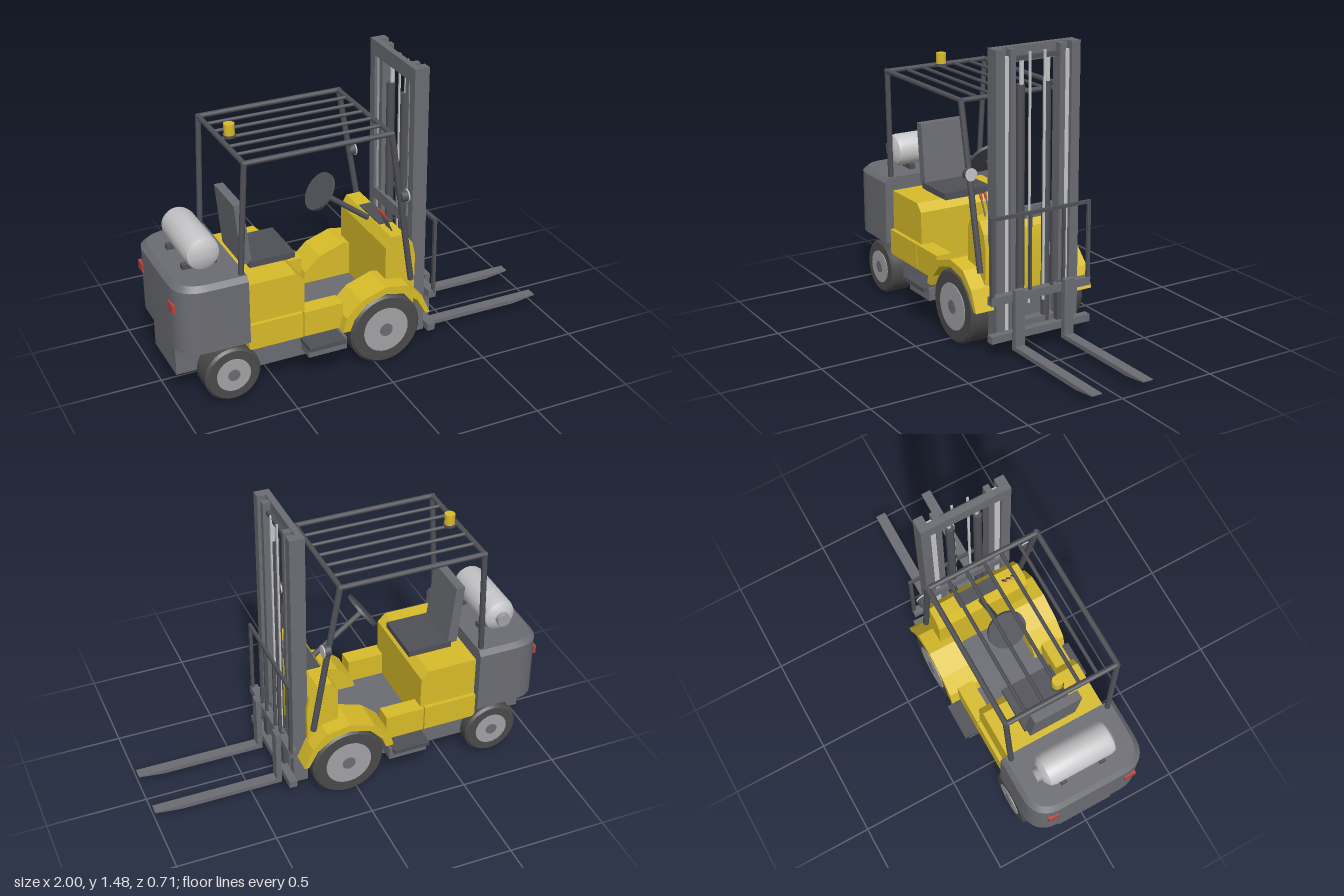
import * as THREE from 'three';
import { toCreasedNormals } from 'three/addons/utils/BufferGeometryUtils.js';

const mat = (name, color) => {
  const m = new THREE.MeshStandardMaterial({ color });
  m.name = name;
  return m;
};

export function createModel() {
  const yellow = mat('yellow paint', 0xd8bc2a);
  const grey = mat('body grey', 0x6c6d73);
  const dark = mat('dark grey', 0x505157);
  const tyreMat = mat('tyre black', 0x4a4a4b);
  const hubMat = mat('wheel grey', 0xa2a2a6);
  const light = mat('light metal', 0xc6c6c8);
  const red = mat('red', 0xb8443e);

  const root = new THREE.Group();
  root.name = 'forklift';
  const V = (x, y, z) => new THREE.Vector3(x, y, z);

  const add = (name, geometry, material) => {
    const mesh = new THREE.Mesh(geometry, material);
    mesh.name = name;
    root.add(mesh);
    return mesh;
  };
  // box given by its limits
  const box = (name, m, x0, x1, y0, y1, z0, z1) => {
    const mesh = add(name, new THREE.BoxGeometry(x1 - x0, y1 - y0, z1 - z0), m);
    mesh.position.set((x0 + x1) / 2, (y0 + y1) / 2, (z0 + z1) / 2);
    return mesh;
  };
  // the same box on both sides
  const boxPair = (name, m, x0, x1, y0, y1, z0, z1) => {
    box(name, m, x0, x1, y0, y1, z0, z1);
    box(name, m, x0, x1, y0, y1, -z1, -z0);
  };
  // round bar between two points
  const rod = (name, m, a, b, r, sides = 12) => {
    const d = b.clone().sub(a);
    const mesh = add(name, new THREE.CylinderGeometry(r, r, d.length(), sides), m);
    mesh.position.copy(a).addScaledVector(d, 0.5);
    mesh.quaternion.setFromUnitVectors(V(0, 1, 0), d.normalize());
    return mesh;
  };
  const toShape = pts => new THREE.Shape(pts.map(p => new THREE.Vector2(...p)));
  // side profile extruded across the width
  const profile = (name, m, pts, z0, z1, crease = 0.3) => {
    const g = new THREE.ExtrudeGeometry(toShape(pts), { depth: z1 - z0, bevelEnabled: false });
    g.translate(0, 0, z0);
    return add(name, toCreasedNormals(g, crease), m);
  };

  // counterweight: rounded plan with a chamfered top
  const plan = new THREE.Shape();
  plan.moveTo(-0.65, -0.31);
  plan.lineTo(-0.65, 0.31);
  plan.lineTo(-0.85, 0.31);
  plan.bezierCurveTo(-0.94, 0.31, -0.99, 0.27, -0.993, 0.18);
  plan.lineTo(-0.993, -0.18);
  plan.bezierCurveTo(-0.99, -0.27, -0.94, -0.31, -0.85, -0.31);
  const slab = (y0, y1, topScale) => {
    const g = new THREE.ExtrudeGeometry(plan, { depth: y1 - y0, bevelEnabled: false, curveSegments: 8 });
    g.rotateX(-Math.PI / 2).translate(0, y0, 0);
    const p = g.attributes.position;
    for (let i = 0; i < p.count; i++) {
      if (p.getY(i) > y1 - 0.001) {
        p.setX(i, -0.65 + (p.getX(i) + 0.65) * topScale);
        p.setZ(i, p.getZ(i) * topScale);
      }
    }
    return toCreasedNormals(g, 0.5);
  };
  add('counterweight', slab(0.3, 0.625, 1), grey);
  add('counterweight top', slab(0.625, 0.65, 0.93), grey);
  box('rear chassis block', grey, -0.97, -0.65, 0.115, 0.3, -0.15, 0.15);
  boxPair('tail light', red, -1, -0.985, 0.505, 0.55, 0.18, 0.24);

  // chassis, floor and steps
  box('chassis', grey, -0.65, -0.165, 0.11, 0.24, -0.24, 0.24);
  box('front chassis', grey, -0.165, 0.23, 0.11, 0.24, -0.165, 0.165);
  box('floor', grey, -0.36, 0.09, 0.235, 0.25, -0.22, 0.22);
  boxPair('step bracket', grey, -0.365, -0.165, 0.145, 0.21, 0.24, 0.33);
  boxPair('step', dark, -0.37, -0.18, 0.19, 0.212, 0.24, 0.355);

  // engine cover and side boxes
  profile('engine cover', yellow, [[-0.65, 0.24], [-0.355, 0.24], [-0.355, 0.54],
    [-0.395, 0.58], [-0.65, 0.58]], -0.265, 0.265);
  boxPair('rear side box', yellow, -0.65, -0.372, 0.24, 0.373, 0.2, 0.285);
  boxPair('front side box', yellow, -0.366, -0.165, 0.24, 0.373, 0.2, 0.285);

  // front cowl
  profile('cowl', yellow, [[0.08, 0.24], [0.235, 0.24], [0.24, 0.52], [0.225, 0.59],
    [0.185, 0.648], [0.11, 0.648], [0.08, 0.595]], -0.25, 0.25);
  box('dash panel', dark, 0.115, 0.185, 0.645, 0.654, -0.11, 0.11);

  // fenders with an inner wall
  const arch = [[-0.185, 0.235], [-0.165, 0.31], [-0.085, 0.385], [0.045, 0.43],
    [0.165, 0.41], [0.24, 0.335], [0.285, 0.23]];
  const inner = [[0.262, 0.23], [0.215, 0.315], [0.145, 0.37], [0.045, 0.392],
    [-0.06, 0.36], [-0.125, 0.29], [-0.145, 0.235]];
  for (const s of [-1, 1]) {
    const span = (a, b) => (s > 0 ? [a, b] : [-b, -a]);
    profile('fender', yellow, [...arch, ...inner], ...span(0.165, 0.33));
    profile('fender inner wall', yellow, arch, ...span(0.155, 0.17));
  }

  // wheels
  const wheel = (name, x, y, r, hubR, capR, z0, z1) => {
    const b = 0.012;
    const w = z1 - z0;
    const tyre = toCreasedNormals(new THREE.LatheGeometry([[0, 0], [r - b, 0], [r, b],
      [r, w - b], [r - b, w], [0, w]].map(p => new THREE.Vector2(...p)), 40), 0.4);
    for (const s of [-1, 1]) {
      const g = new THREE.Group();
      g.name = name;
      const part = (n, geo, m, out) => {
        const mesh = new THREE.Mesh(geo, m);
        mesh.name = n;
        mesh.position.y = out;
        g.add(mesh);
      };
      part('tyre', tyre, tyreMat, 0);
      part('hub', new THREE.CylinderGeometry(hubR, hubR, 0.006, 32), hubMat, w + 0.001);
      part('hub cap', new THREE.CylinderGeometry(capR, capR, 0.008, 20), grey, w + 0.003);
      g.position.set(x, y, s * z0);
      g.rotation.x = s * Math.PI / 2;
      root.add(g);
    }
    rod('axle', dark, V(x, y, -z0), V(x, y, z0), capR);
  };
  wheel('front wheel', 0.05, 0.187, 0.185, 0.118, 0.034, 0.175, 0.32);
  wheel('rear wheel', -0.74, 0.143, 0.14, 0.085, 0.03, 0.175, 0.305);

  // seat
  box('seat base', dark, -0.57, -0.36, 0.58, 0.595, -0.12, 0.12);
  box('seat cushion', dark, -0.575, -0.345, 0.592, 0.622, -0.135, 0.135);
  profile('seat back', grey, [[-0.61, 0.61], [-0.56, 0.61], [-0.595, 0.925], [-0.64, 0.925]], -0.125, 0.125);

  // steering and levers
  rod('steering column', dark, V(0.13, 0.62, 0), V(-0.14, 0.825, 0), 0.014);
  rod('steering wheel', dark, V(-0.145, 0.832, 0), V(-0.157, 0.841, 0), 0.098, 32);
  for (const z of [0.14, 0.165, 0.19]) {
    rod('lever', dark, V(0.145, 0.64, z), V(0.105, 0.73, z), 0.004, 6);
    rod('lever knob', red, V(0.107, 0.725, z), V(0.095, 0.752, z), 0.007, 8);
  }

  // overhead guard
  for (const s of [-1, 1]) {
    rod('rear guard post', dark, V(-0.672, 0.63, s * 0.265), V(-0.645, 1.212, s * 0.285), 0.014);
    rod('front guard post', dark, V(0.212, 0.4, s * 0.262), V(0.085, 1.212, s * 0.285), 0.015);
    rod('guard side rail', dark, V(-0.655, 1.212, s * 0.285), V(0.093, 1.212, s * 0.285), 0.013);
    // headlight
    rod('headlight body', dark, V(0.135, 0.876, s * 0.283), V(0.168, 0.876, s * 0.283), 0.028, 20);
    rod('headlight lens', light, V(0.167, 0.876, s * 0.283), V(0.173, 0.876, s * 0.283), 0.031, 20);
  }
  for (const x of [-0.645, 0.082]) {
    rod('guard cross rail', dark, V(x, 1.212, -0.285), V(x, 1.212, 0.285), 0.013);
  }
  for (let i = -2; i <= 2; i++) {
    rod('guard slat', dark, V(-0.645, 1.212, i * 0.092), V(0.082, 1.212, i * 0.092), 0.009, 8);
  }
  rod('beacon base', dark, V(-0.6, 1.215, 0), V(-0.6, 1.228, 0), 0.03, 20);
  rod('beacon', yellow, V(-0.6, 1.228, 0), V(-0.6, 1.282, 0), 0.026, 20);

  // gas bottle lying across the counterweight
  const bottle = [[0, -0.2], [0.05, -0.195], [0.078, -0.175], [0.084, -0.15], [0.084, 0.15],
    [0.078, 0.172], [0.05, 0.187], [0, 0.19]].map(p => new THREE.Vector2(...p));
  const tank = add('gas bottle', toCreasedNormals(new THREE.LatheGeometry(bottle, 32), 0.6), light);
  tank.rotation.x = Math.PI / 2;
  tank.position.set(-0.815, 0.742, 0);
  rod('bottle valve', hubMat, V(-0.815, 0.742, -0.225), V(-0.815, 0.742, -0.19), 0.035, 8);
  boxPair('bottle cradle', dark, -0.9, -0.73, 0.645, 0.675, 0.09, 0.12);

  // mast
  boxPair('outer mast rail', grey, 0.23, 0.305, 0.07, 1.48, 0.182, 0.23);
  boxPair('mast channel', light, 0.245, 0.285, 0.08, 1.44, 0.148, 0.183);
  boxPair('inner mast rail', grey, 0.24, 0.3, 0.08, 1.475, 0.12, 0.15);
  box('mast top beam', grey, 0.23, 0.262, 1.405, 1.48, -0.19, 0.19);
  box('mast middle beam', grey, 0.23, 0.25, 0.64, 0.7, -0.19, 0.19);
  box('mast bottom beam', grey, 0.23, 0.28, 0.07, 0.14, -0.19, 0.19);
  box('lift head', dark, 0.262, 0.285, 1.415, 1.435, -0.12, 0.12);
  for (const s of [-1, 1]) {
    rod('lift cylinder', dark, V(0.262, 0.1, s * 0.072), V(0.262, 1.3, s * 0.072), 0.021);
    rod('lift rod', light, V(0.27, 1.3, s * 0.072), V(0.27, 1.42, s * 0.072), 0.011);
  }
  boxPair('lift chain', light, 0.288, 0.296, 0.23, 1.455, 0.035, 0.046);

  // carriage and load backrest
  box('upper carriage bar', grey, 0.305, 0.345, 0.275, 0.315, -0.28, 0.28);
  box('lower carriage bar', grey, 0.305, 0.345, 0.085, 0.122, -0.28, 0.28);
  boxPair('carriage plate', dark, 0.295, 0.325, 0.085, 0.315, 0.1, 0.14);
  box('backrest top', dark, 0.326, 0.341, 0.69, 0.706, -0.28, 0.28);
  boxPair('backrest side', dark, 0.326, 0.341, 0.3, 0.7, 0.263, 0.28);
  boxPair('backrest bar', dark, 0.326, 0.341, 0.3, 0.7, 0.122, 0.135);
  boxPair('backrest inner bar', dark, 0.326, 0.341, 0.3, 0.7, 0.055, 0.067);

  // forks
  for (const z of [0.113, -0.167]) {
    profile('fork', grey, [[0.345, 0.035], [0.87, 0.035], [1, 0.052], [1, 0.057],
      [0.372, 0.057], [0.372, 0.34], [0.345, 0.34]], z, z + 0.054, 0.1);
  }

  return root;
}
